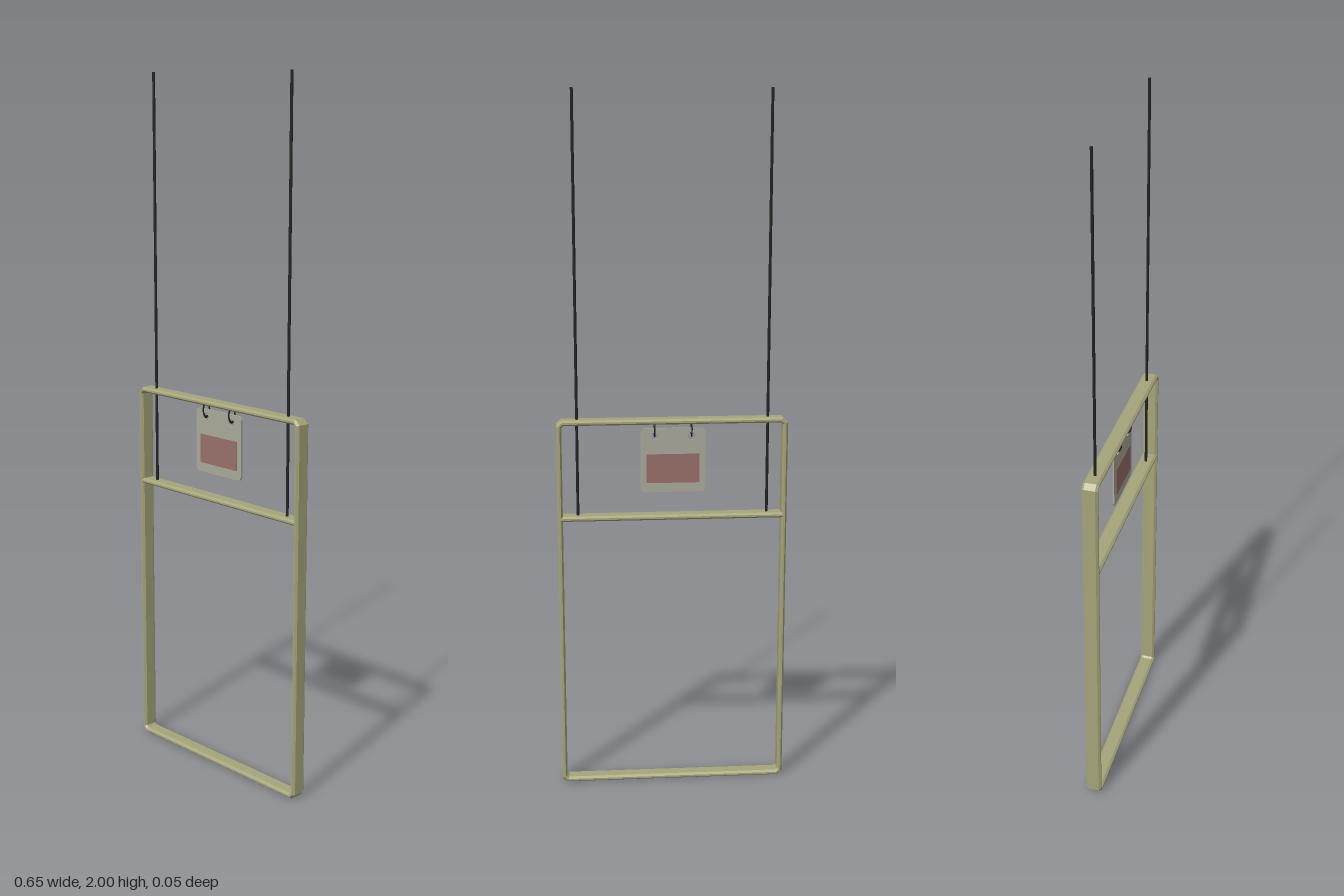
import * as THREE from 'three';

const mat = (color, extra = {}) => new THREE.MeshStandardMaterial({ color, ...extra });

// Chamfered bar section: [inset from the outer edge, z], counter-clockwise loop
const SECTION = [
  [0, 0.016], [0.005, 0.0225], [0.010, 0.0225], [0.015, 0.016],
  [0.015, -0.016], [0.010, -0.0225], [0.005, -0.0225], [0, -0.016],
];

// Rectangle with cut corners, shrunk by inset
function cutRect(x, y0, y1, cut, inset) {
  const w = x - inset, b = y0 + inset, t = y1 - inset, c = Math.max(cut - inset * 0.586, 0.001);
  return [[w, b + c], [w, t - c], [w - c, t], [-w + c, t],
    [-w, t - c], [-w, b + c], [-w + c, b], [w - c, b]];
}

// Sweep the section round the frame outline
function frameGeometry() {
  const pos = [], index = [], n = SECTION.length;
  const rings = SECTION.map(([inset, z]) =>
    cutRect(0.327, 0, 1.095, 0.014, inset).map(([x, y]) => [x, y, z]));
  for (let i = 0; i < 8; i++) for (let j = 0; j < n; j++) pos.push(...rings[j][i]);
  for (let i = 0; i < 8; i++) {
    for (let j = 0; j < n; j++) {
      const k = (j + 1) % n, m = (i + 1) % 8;
      const a = i * n + j, b = m * n + j, c = m * n + k, d = i * n + k;
      index.push(a, b, c, a, c, d);
    }
  }
  const g = new THREE.BufferGeometry();
  g.setAttribute('position', new THREE.Float32BufferAttribute(pos, 3));
  g.setIndex(index);
  const flat = g.toNonIndexed();
  flat.computeVertexNormals();
  return flat;
}

function roundedRect(x0, x1, y0, y1, r) {
  const s = new THREE.Shape();
  s.moveTo(x0 + r, y0);
  s.lineTo(x1 - r, y0);
  s.absarc(x1 - r, y0 + r, r, -Math.PI / 2, 0);
  s.absarc(x1 - r, y1 - r, r, 0, Math.PI / 2);
  s.absarc(x0 + r, y1 - r, r, Math.PI / 2, Math.PI);
  s.absarc(x0 + r, y0 + r, r, Math.PI, Math.PI * 1.5);
  return s;
}

export function createModel() {
  const group = new THREE.Group();
  const add = (name, geometry, material, x = 0, y = 0, z = 0) => {
    const mesh = new THREE.Mesh(geometry, material);
    mesh.name = name;
    mesh.position.set(x, y, z);
    group.add(mesh);
    return mesh;
  };
  const frameMat = mat(0xa5a57a, { flatShading: true });
  const dark = mat(0x222222);

  // Outer frame and the crossbar that carries the cables
  add('frame', frameGeometry(), frameMat);
  const barShape = new THREE.Shape(SECTION.map(([i, z]) => new THREE.Vector2(z, i - 0.0075)));
  const bar = new THREE.ExtrudeGeometry(barShape, { depth: 0.634, bevelEnabled: false });
  bar.translate(0, 0, -0.317).rotateY(Math.PI / 2);
  add('crossbar', bar, frameMat, 0, 0.809, 0);

  // Hanging cables
  for (const x of [-0.271, 0.269]) {
    add('cable', new THREE.CylinderGeometry(0.004, 0.004, 1.19, 8), dark, x, 1.405, 0);
  }

  // Small hanging plate with two holes
  const plate = roundedRect(-0.095, 0.09, 0.88, 1.066, 0.014);
  for (const x of [-0.055, 0.05]) {
    const hole = new THREE.Path();
    hole.absarc(x, 1.043, 0.011, 0, Math.PI * 2, true);
    plate.holes.push(hole);
    // Hook through the hole, over the lower face of the top rail
    const hook = add('hook', new THREE.TorusGeometry(0.012, 0.0022, 6, 20), dark, x, 1.064, 0);
    hook.rotation.y = Math.PI / 2;
    hook.scale.y = 1.75;
  }
  add('plate', new THREE.ExtrudeGeometry(plate, { depth: 0.005, bevelEnabled: false, curveSegments: 8 }),
    mat(0xa9a99a), 0, 0, -0.0025);

  // Coloured panel showing on both faces of the plate
  add('platePanel', new THREE.BoxGeometry(0.15, 0.084, 0.007), mat(0x98706a), -0.002, 0.949, 0);
  return group;
}
